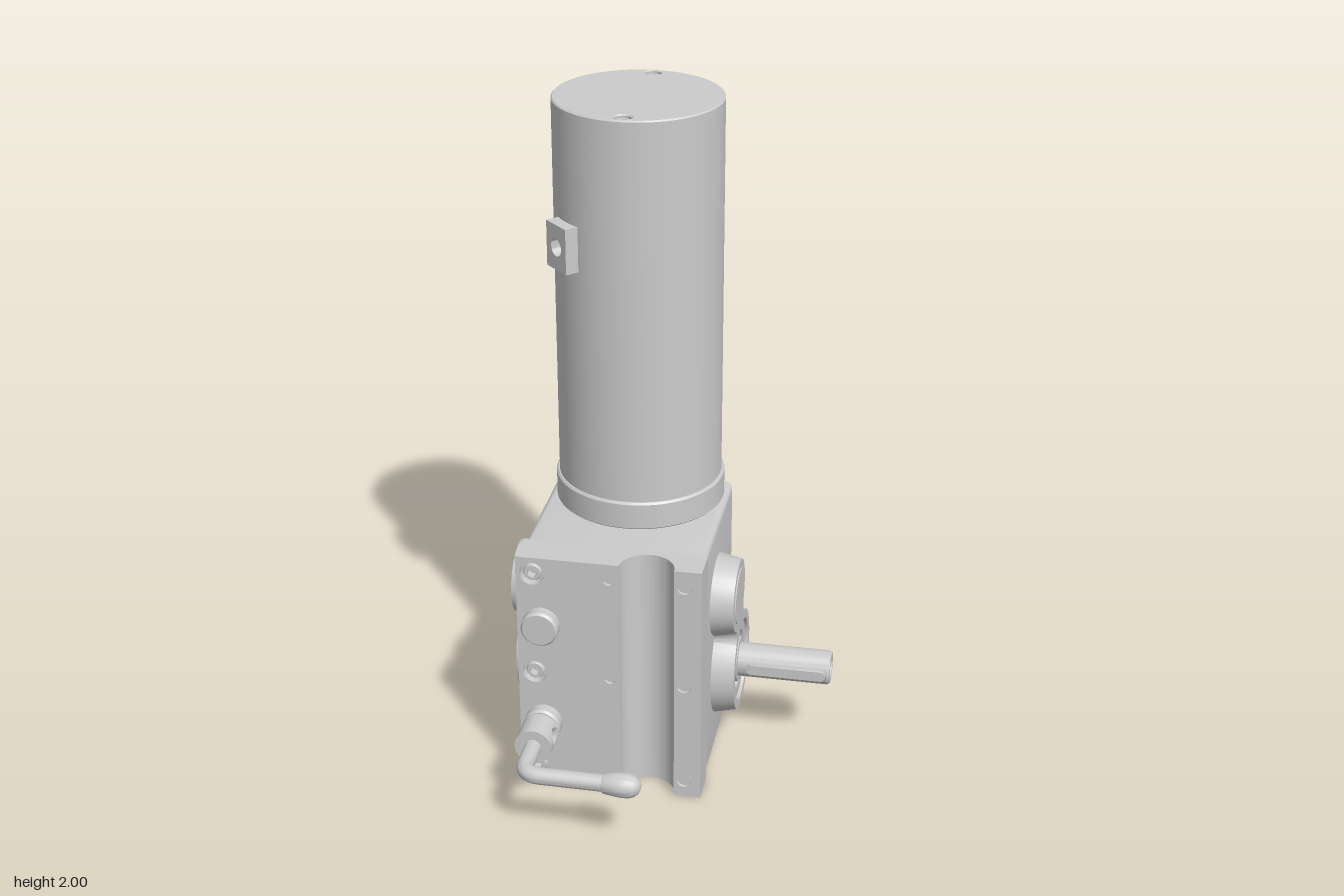
import * as THREE from 'three';
import { toCreasedNormals } from 'three/addons/utils/BufferGeometryUtils.js';

const mat = new THREE.MeshStandardMaterial({ color: 0xcccccc });

export function createModel() {
  const root = new THREE.Group();

  const add = (name, geo, parent = root) => {
    const m = new THREE.Mesh(toCreasedNormals(geo, 0.6), mat);
    m.name = name;
    parent.add(m);
    return m;
  };
  // Solid of revolution; profile is [radius, height] from base to tip
  const turn = (name, profile, axis, x, y, z, seg = 32, parent = root) => {
    const g = new THREE.LatheGeometry(profile.map(p => new THREE.Vector2(...p)), seg);
    if (axis === 'x') g.rotateZ(-Math.PI / 2);
    if (axis === 'z') g.rotateX(Math.PI / 2);
    return add(name, g.translate(x, y, z), parent);
  };
  const extrude = (shape, depth, opts = {}) =>
    new THREE.ExtrudeGeometry(shape, { depth, bevelEnabled: false, curveSegments: 24, ...opts });
  const alongX = g => g.rotateY(Math.PI / 2);   // shape x = -z
  const alongY = g => g.rotateX(-Math.PI / 2);  // shape y = -z
  const poly = pts => new THREE.Shape(pts.map(p => new THREE.Vector2(...p)));
  const rect = (x0, y0, x1, y1) => poly([[x0, y0], [x1, y0], [x1, y1], [x0, y1]]);
  const hole = (shape, x, y, r) =>
    shape.holes.push(new THREE.Path().absarc(x, y, r, 0, Math.PI * 2, true));

  // Gear housing, rounded at the lower back edge
  const side = new THREE.Shape();
  side.moveTo(-0.12, 0.006);
  side.lineTo(0.27, 0.006);
  side.absarc(0.27, 0.106, 0.1, -Math.PI / 2, 0, false);
  side.lineTo(0.37, 0.765);
  side.lineTo(-0.12, 0.765);
  side.closePath();
  add('housing', alongX(extrude(side, 0.495, {
    bevelEnabled: true, bevelSize: 0.02, bevelOffset: -0.02, bevelThickness: 0.02, bevelSegments: 4,
  })).translate(-0.388, 0, 0));

  // Front cover: two drilled slabs with a half-round channel between them
  const rows = [0.055, 0.385, 0.715];
  const leftSlab = rect(-0.413, 0, -0.11, 0.767);
  const rightSlab = rect(0.05, 0, 0.13, 0.767);
  for (const y of rows) {
    hole(leftSlab, -0.365, y, 0.036);
    hole(leftSlab, -0.14, y, 0.016);
    hole(rightSlab, 0.08, y, 0.022);
  }
  add('frontCoverWide', extrude(leftSlab, 0.105).translate(0, 0, 0.1));
  add('frontCoverNarrow', extrude(rightSlab, 0.105).translate(0, 0, 0.1));
  const channel = new THREE.Shape();
  channel.moveTo(-0.11, -0.205);
  channel.absarc(-0.03, -0.205, 0.08, Math.PI, 0, true);
  channel.lineTo(0.05, -0.1);
  channel.lineTo(-0.11, -0.1);
  add('frontChannel', alongY(extrude(channel, 0.767)));

  // Cover screws and the bottoms of the small holes
  for (const y of rows) {
    turn('socketScrew', [[0, 0], [0.027, 0], [0.027, 0.08], [0.024, 0.085], [0.015, 0.085], [0.015, 0.06], [0, 0.06]],
      'z', -0.365, y, 0.115, 24);
    turn('counterboreFloor', [[0, 0], [0.036, 0], [0.036, 0.06], [0, 0.06]], 'z', -0.365, y, 0.115, 24);
    turn('smallPin', [[0, 0], [0.016, 0], [0.016, 0.08], [0, 0.08]], 'z', -0.14, y, 0.115, 20);
    turn('edgePin', [[0, 0], [0.022, 0], [0.022, 0.08], [0, 0.08]], 'z', 0.08, y, 0.115, 20);
  }
  for (const [name, y] of [['plug', 0.55], ['crankBoss', 0.218]])
    turn(name, [[0, 0], [0.055, 0], [0.055, 0.035], [0.049, 0.042], [0, 0.042]], 'z', -0.34, y, 0.2);

  // Figure-eight gear covers on both sides, blended at the neck
  const A = new THREE.Vector2(0.148, 0.277), B = new THREE.Vector2(0.076, 0.542);
  const rA = 0.168, rB = 0.124, rf = 0.025;
  const eight = () => {
    const d = A.distanceTo(B), u = B.clone().sub(A).divideScalar(d), n = new THREE.Vector2(-u.y, u.x);
    const t = (d * d + (rA + rf) ** 2 - (rB + rf) ** 2) / (2 * d);
    const h = Math.sqrt((rA + rf) ** 2 - t * t);
    const blend = s => A.clone().addScaledVector(u, t).addScaledVector(n, s * h);
    const P = blend(1), Q = blend(-1);
    const ang = (from, to) => Math.atan2(to.y - from.y, to.x - from.x);
    const s = new THREE.Shape();
    s.absarc(B.x, B.y, rB, ang(B, Q), ang(B, P), false);
    s.absarc(P.x, P.y, rf, ang(P, B), ang(P, A), true);
    s.absarc(A.x, A.y, rA, ang(A, P), ang(A, Q), false);
    s.absarc(Q.x, Q.y, rf, ang(Q, A), ang(Q, B), true);
    return s;
  };
  for (const sgn of [1, -1]) {
    const s = eight();
    if (sgn > 0) hole(s, A.x, A.y, 0.112);
    const g = alongX(extrude(s, 0.02, {
      bevelEnabled: true, bevelSize: 0.014, bevelOffset: -0.014, bevelThickness: 0.065, bevelSegments: 1,
    }));
    add(sgn > 0 ? 'leftGearCover' : 'rightGearCover', g.translate(sgn > 0 ? 0.11 : -0.41, 0, 0));
    const disc = (name, c, r) => turn(name, [[0, 0], [r, 0], [r, 0.012], [r - 0.003, 0.015], [0, 0.015]],
      'x', sgn > 0 ? 0.183 : -0.478, c.y, -c.x, 48);
    disc('smallCap', B, 0.085);
    if (sgn < 0) disc('largeCap', A, 0.125);
  }

  // Bearing rings, output shaft and key
  turn('bearing', [[0, 0], [0.124, 0], [0.124, 0.065], [0.09, 0.065], [0.086, 0.055],
    [0.07, 0.055], [0.07, 0.07], [0, 0.07]], 'x', 0.12, A.y, -A.x, 48);
  turn('outputShaft', [[0, 0], [0.052, 0], [0.052, 0.342], [0.046, 0.35], [0.032, 0.35], [0.022, 0.335],
    [0.022, 0.3], [0, 0.29]], 'x', 0.12, A.y, -A.x, 40);
  const key = new THREE.Shape();
  key.absarc(0.235, A.y, 0.016, Math.PI / 2, Math.PI * 1.5, false);
  key.absarc(0.442, A.y, 0.016, -Math.PI / 2, Math.PI / 2, false);
  add('shaftKey', extrude(key, 0.04).translate(0, 0, -0.127));

  // Motor with collar, end cap and cap screws
  const mx = -0.14, mz = -0.268;
  turn('motorCollar', [[0, 0], [0.248, 0], [0.252, 0.004], [0.252, 0.08], [0.247, 0.086], [0, 0.086]],
    'y', mx, 0.765, mz, 72);
  turn('motorBody', [[0, 0], [0.243, 0], [0.243, 1.145], [0, 1.145]], 'y', mx, 0.83, mz, 72);
  const cap = new THREE.Shape().absarc(mx, -mz, 0.243, 0, Math.PI * 2, false);
  for (const z of [-0.483, -0.059]) {
    hole(cap, mx, -z, 0.024);
    turn('capScrew', [[0, 0], [0.022, 0], [0.022, 0.024], [0.012, 0.024], [0.01, 0.012], [0, 0.012]],
      'y', mx, 1.966, z, 20);
  }
  add('motorCap', alongY(extrude(cap, 0.026, {
    curveSegments: 36, bevelEnabled: true, bevelSize: 0.004, bevelOffset: -0.004, bevelThickness: 0.004, bevelSegments: 1,
  })).translate(0, 1.97, 0));

  // Cable terminal on the motor, turned to the front right
  const terminal = new THREE.Group();
  terminal.name = 'cableTerminal';
  terminal.position.set(mx, 1.608, mz);
  terminal.rotation.y = -Math.PI / 4;
  const face = rect(-0.05, -0.067, 0.05, 0.067);
  hole(face, 0, 0, 0.026);
  add('terminalBlock', extrude(face, 0.078).translate(0, 0, 0.2), terminal);
  root.add(terminal);

  // Rib carrying the overhanging collar
  add('supportRib', alongX(extrude(poly([[0.35, 0.61], [0.515, 0.768], [0.35, 0.768]]), 0.04))
    .translate(mx - 0.02, 0, 0));

  // Crank: hub with a countersunk cross hole, bent rod and grip
  const cx = -0.34, cy = 0.218;
  const hub = new THREE.CylinderGeometry(0.055, 0.055, 0.093, 72, 24).rotateX(Math.PI / 2);
  const p = hub.attributes.position;
  for (let i = 0; i < p.count; i++) {
    const q = Math.hypot(p.getY(i), p.getZ(i) + 0.012);
    if (q < 0.03) p.setX(i, p.getX(i) - Math.sign(p.getX(i)) * Math.min(0.03, (0.03 - q) * 1.3));
  }
  add('crankHub', hub.translate(cx, cy, 0.302));
  const V = (x, z) => new THREE.Vector3(x, cy, z);
  const path = new THREE.CurvePath();
  path.add(new THREE.LineCurve3(V(cx, 0.33), V(cx, 0.43)));
  path.add(new THREE.QuadraticBezierCurve3(V(cx, 0.43), V(cx, 0.484), V(cx + 0.054, 0.484)));
  path.add(new THREE.LineCurve3(V(cx + 0.054, 0.484), V(-0.09, 0.484)));
  add('crankRod', new THREE.TubeGeometry(path, 48, 0.025, 20));
  turn('crankGrip', [[0, 0], [0.027, 0], [0.03, 0.005], [0.036, 0.05], [0.036, 0.075], [0.031, 0.092],
    [0.02, 0.105], [0.009, 0.11], [0, 0.111]], 'x', -0.103, cy, 0.484, 28);

  return root;
}
